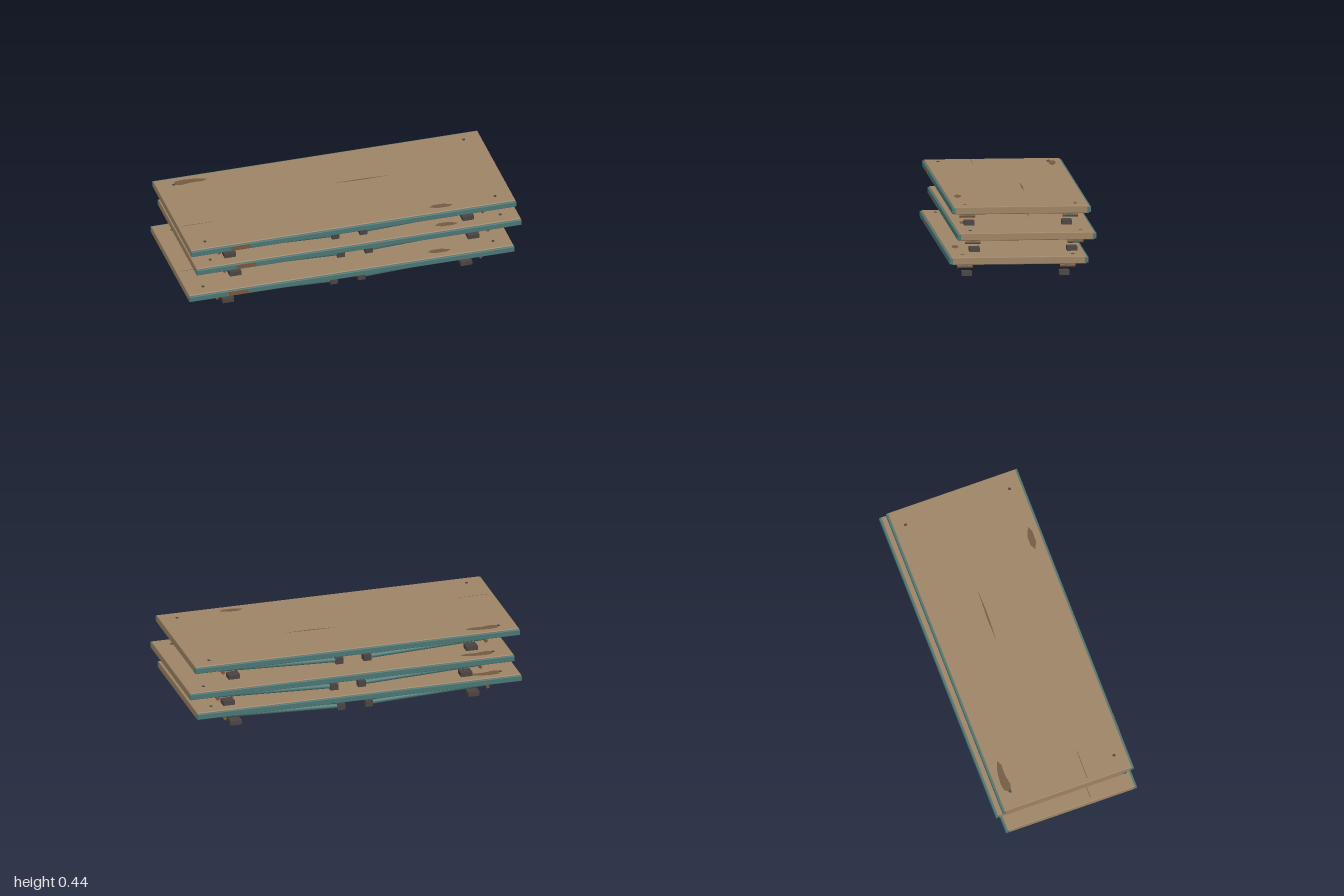
import * as THREE from 'three';
import { RoundedBoxGeometry } from 'three/addons/geometries/RoundedBoxGeometry.js';

const mat = (name, color, extra = {}) => {
  const m = new THREE.MeshStandardMaterial({ color, ...extra });
  m.name = name;
  return m;
};

export function createModel() {
  const wood = mat('wood', 0x9c8364);
  const teal = mat('teal paint', 0x4a7573);
  const rubber = mat('dark rubber', 0x4a4341);
  const rust = mat('rust', 0x7d5439);
  const black = mat('black steel', 0x1e1c1c);
  const stain = mat('stain', 0x715a42, { side: THREE.DoubleSide });

  const add = (parent, name, geo, material, x = 0, y = 0, z = 0) => {
    const m = new THREE.Mesh(geo, material);
    m.name = name;
    m.position.set(x, y, z);
    parent.add(m);
    return m;
  };
  const box = (p, name, m, w, h, d, x, y, z) => add(p, name, new THREE.BoxGeometry(w, h, d), m, x, y, z);

  // straight round bar between two points
  const bar = (p, name, m, r, a, b, sides = 8) => {
    const from = new THREE.Vector3(...a), to = new THREE.Vector3(...b);
    const dir = to.clone().sub(from);
    const mesh = add(p, name, new THREE.CylinderGeometry(r, r, dir.length(), sides), m);
    mesh.position.copy(from).add(to).multiplyScalar(0.5);
    mesh.quaternion.setFromUnitVectors(new THREE.Vector3(0, 1, 0), dir.normalize());
    return mesh;
  };

  // flat irregular mark lying on the table top
  const mark = (p, name, pts, x, z) => {
    const shape = new THREE.Shape(pts.map(([u, v]) => new THREE.Vector2(u, -v)));
    const m = add(p, name, new THREE.ShapeGeometry(shape), stain, x, 0.1425, z);
    m.rotation.x = -Math.PI / 2;
  };

  function buildTable() {
    const table = new THREE.Group();

    // top board with painted long edges
    add(table, 'tabletop', new RoundedBoxGeometry(1.936, 0.044, 0.778, 1, 0.005), wood, 0, 0.119, 0);
    for (const s of [-1, 1])
      add(table, 'edgeStrip', new RoundedBoxGeometry(1.94, 0.034, 0.022, 1, 0.004), teal, 0, 0.1185, s * 0.389);
    box(table, 'chippedPaint', rust, 0.115, 0.024, 0.003, -0.675, 0.1185, 0.4);

    // wear on the board
    mark(table, 'cornerStain', [[-0.1, 0.015], [-0.085, -0.02], [-0.04, -0.026], [0.03, -0.02],
      [0.1, 0.002], [0.07, 0.018], [0.0, 0.016], [-0.06, 0.027]], -0.765, -0.327);
    mark(table, 'sideStain', [[-0.07, -0.002], [-0.04, -0.02], [0.02, -0.018], [0.07, 0.005],
      [0.04, 0.019], [-0.03, 0.018]], 0.54, 0.33);
    mark(table, 'scratch', [[-0.17, -0.004], [-0.02, -0.007], [0.17, 0.001], [0.03, 0.005], [-0.08, 0.001]], 0.185, -0.07);
    mark(table, 'fineScratch', [[-0.088, -0.003], [0.088, -0.001], [0.088, 0.002], [-0.088, 0.001]], -0.855, 0.126);

    for (const sx of [-1, 1]) {
      const frame = new THREE.Group();
      frame.name = 'foldedLegFrame';
      table.add(frame);

      // cross bar and diagonal stay
      bar(frame, 'crossBar', teal, 0.0145, [sx * 0.085, 0.038, -0.295], [sx * 0.085, 0.038, 0.295]);
      bar(frame, 'stay', black, 0.0055, [sx * 0.72, 0.084, 0.213], [sx * 0.34, 0.049, 0.213], 6);

      for (const sz of [-1, 1]) {
        // leg tube with end cap
        bar(frame, 'leg', teal, 0.0135, [sx * 0.785, 0.066, sz * 0.295], [sx * 0.085, 0.038, sz * 0.295]);
        box(frame, 'legCap', rubber, 0.045, 0.036, 0.042, sx * 0.083, 0.038, sz * 0.297);

        // hinge under the board
        box(frame, 'hingePlate', rubber, 0.092, 0.017, 0.072, sx * 0.784, 0.0885, sz * 0.296);
        box(frame, 'hingeLug', teal, 0.03, 0.02, 0.03, sx * 0.785, 0.074, sz * 0.295);
        bar(frame, 'hingePin', rust, 0.01, [sx * 0.785, 0.063, sz * 0.251], [sx * 0.785, 0.063, sz * 0.34]);

        // stacking foot
        box(frame, 'stackingFoot', rubber, 0.068, 0.026, 0.058, sx * 0.71, 0.014, sz * 0.28);

        // bolt head on the board
        add(frame, 'bolt', new THREE.CylinderGeometry(0.009, 0.009, 0.003, 8), rubber, sx * 0.865, 0.142, sz * 0.317);
      }
    }
    return table;
  }

  // loosely stacked pile
  const model = new THREE.Group();
  model.name = 'stackedFoldingTables';
  const spots = [['bottomTable', -0.03, 0, 0.02], ['middleTable', 0.025, 0.147, -0.02], ['topTable', -0.015, 0.294, 0.007]];
  for (const [name, x, y, z] of spots) {
    const t = buildTable();
    t.name = name;
    t.position.set(x, y, z);
    model.add(t);
  }
  return model;
}
